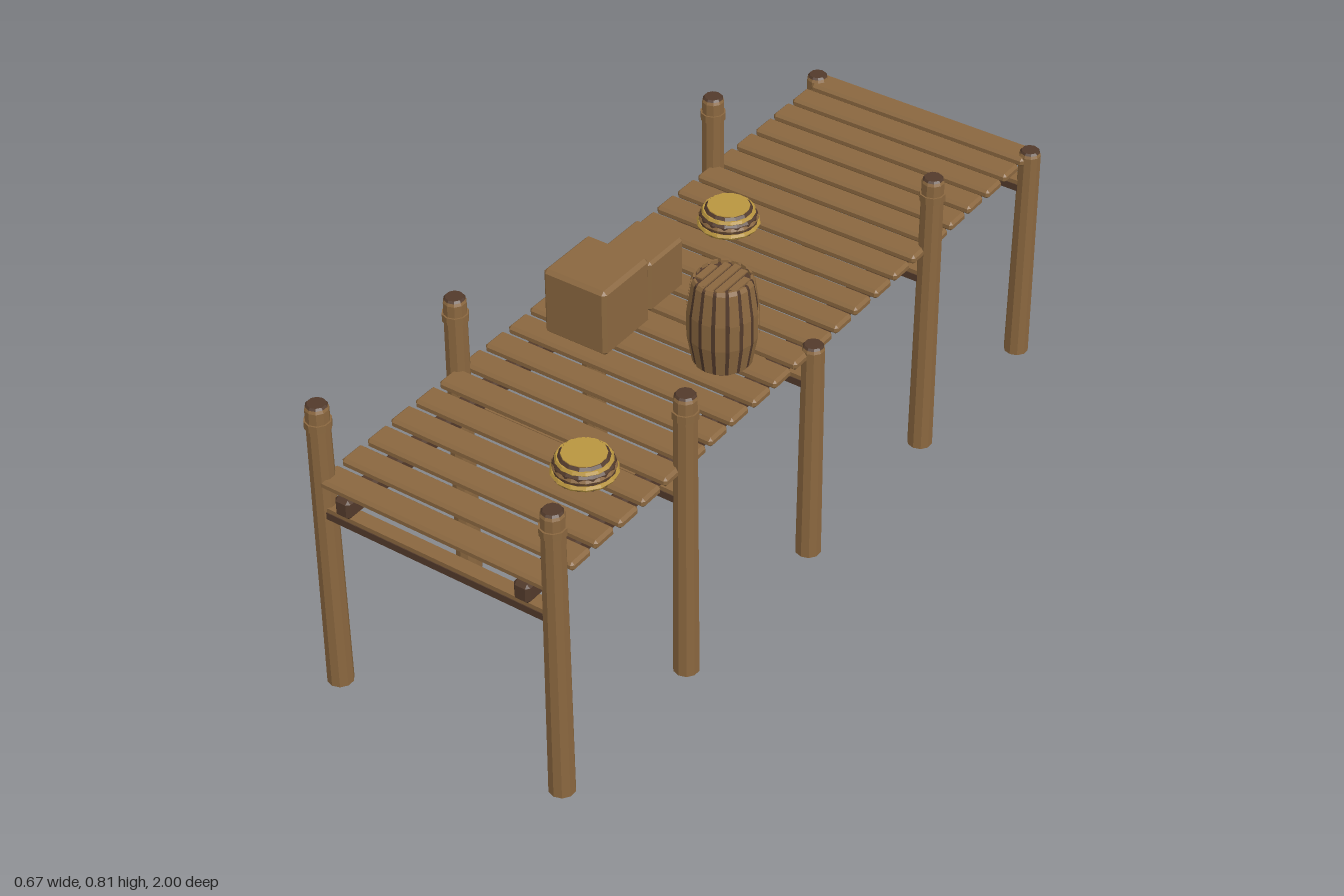
import * as THREE from 'three';
import { ConvexGeometry } from 'three/addons/geometries/ConvexGeometry.js';

export function createModel() {
  const dock = new THREE.Group();
  dock.name = 'dock';
  const material = (name, color) => {
    const m = new THREE.MeshStandardMaterial({ color, flatShading: true });
    m.name = name;
    return m;
  };
  const wood = material('wood', 0x8a673f);
  const dark = material('dark wood', 0x523a2b);
  const gold = material('golden rope', 0xb9953f);

  const add = (parent, name, geometry, mat, x = 0, y = 0, z = 0) => {
    const mesh = new THREE.Mesh(geometry, mat);
    mesh.name = name;
    mesh.position.set(x, y, z);
    parent.add(mesh);
    return mesh;
  };
  const group = (name, x, y, z) => {
    const g = new THREE.Group();
    g.name = name;
    g.position.set(x, y, z);
    dock.add(g);
    return g;
  };
  // Box with every edge and corner cut back by c
  const chamferBox = (w, h, d, c) => {
    const points = [];
    for (const sx of [-1, 1]) for (const sy of [-1, 1]) for (const sz of [-1, 1]) {
      const [x, y, z] = [w / 2, h / 2, d / 2];
      points.push(
        new THREE.Vector3(sx * x, sy * (y - c), sz * (z - c)),
        new THREE.Vector3(sx * (x - c), sy * y, sz * (z - c)),
        new THREE.Vector3(sx * (x - c), sy * (y - c), sz * z));
    }
    return new ConvexGeometry(points);
  };
  const lathe = (profile, sides, start = 0, length = Math.PI * 2) =>
    new THREE.LatheGeometry(profile.map(([r, y]) => new THREE.Vector2(r, y)), sides, start, length);

  // Deck planks
  const plank = chamferBox(0.62, 0.024, 0.067, 0.007);
  for (let i = 0; i < 24; i++) {
    const p = add(dock, 'plank', plank, wood, 0, 0.576, 0.957 - i * 0.0836);
    p.scale.x = i === 0 ? 0.985 : 1 - (i % 3) * 0.004;
  }

  // Long beams under the deck
  const beam = chamferBox(0.042, 0.05, 1.99, 0.008);
  for (const side of [-1, 1]) add(dock, 'longBeam', beam, dark, side * 0.238, 0.538, 0);

  // Posts in pairs, joined by cross rails
  const postRows = [[0.967, 0.775], [0.5, 0.775], [0, 0.6], [-0.5, 0.775], [-0.967, 0.6]];
  for (const [z, top] of postRows) {
    for (const side of [-1, 1]) {
      const post = group('post', side * 0.308, 0, z);
      add(post, 'postShaft', lathe([[0, 0], [0.031, 0], [0.027, top - 0.012], [0.021, top], [0, top]], 10), wood);
      add(post, 'postEnd', new THREE.CylinderGeometry(0.021, 0.025, 0.005, 10), dark, 0, top - 0.002, 0);
      if (top > 0.7) add(post, 'postBand', new THREE.CylinderGeometry(0.031, 0.031, 0.019, 10), wood, 0, 0.724, 0);
    }
    add(dock, 'crossRailTop', new THREE.BoxGeometry(0.58, 0.012, 0.036), wood, 0, 0.506, z);
    add(dock, 'crossRailBottom', new THREE.BoxGeometry(0.58, 0.018, 0.04), dark, 0, 0.492, z);
  }

  // Crates
  add(dock, 'largeCrate', chamferBox(0.172, 0.174, 0.172, 0.009), wood, -0.138, 0.675, 0.208);
  add(dock, 'smallCrate', chamferBox(0.132, 0.134, 0.132, 0.007), wood, -0.136, 0.655, 0.03);

  // Barrel: a dark core with separate staves around it
  const barrel = group('barrel', 0.161, 0.588, 0.145);
  add(barrel, 'barrelCore',
    lathe([[0, 0], [0.066, 0], [0.079, 0.07], [0.079, 0.145], [0.066, 0.215], [0, 0.215]], 16), dark);
  const stave = lathe(
    [[0.062, 0], [0.069, 0.003], [0.082, 0.075], [0.082, 0.14], [0.071, 0.215], [0.066, 0.224], [0.061, 0.224], [0.06, 0.213]],
    1, 0, (Math.PI / 8) * 0.72);
  for (let i = 0; i < 16; i++) add(barrel, 'stave', stave, wood).rotation.y = (i * Math.PI) / 8;
  // Lid boards
  for (let i = -2; i <= 2; i++) {
    const length = 2 * Math.sqrt(0.06 ** 2 - (Math.abs(i) * 0.022 + 0.008) ** 2);
    add(barrel, 'lidBoard', new THREE.BoxGeometry(0.017, 0.006, length), wood, i * 0.022, 0.216, 0);
  }

  // Rope coils: stacked golden turns around a dark core
  for (const [x, z] of [[0.147, 0.645], [-0.128, -0.303]]) {
    const coil = group('ropeCoil', x, 0.588, z);
    add(coil, 'coilCore', lathe([[0, 0], [0.072, 0], [0.069, 0.03], [0.053, 0.05], [0, 0.05]], 14), dark);
    [[0.069, 0.007], [0.065, 0.022], [0.058, 0.037]].forEach(([r, y], i) => {
      const turn = add(coil, 'ropeTurn', new THREE.TorusGeometry(r, 0.0075, 6, 14), i === 1 ? wood : gold, 0, y, 0);
      turn.rotation.x = Math.PI / 2;
    });
    add(coil, 'coilTop', new THREE.CylinderGeometry(0.051, 0.053, 0.008, 14), gold, 0, 0.048, 0);
  }
  return dock;
}
